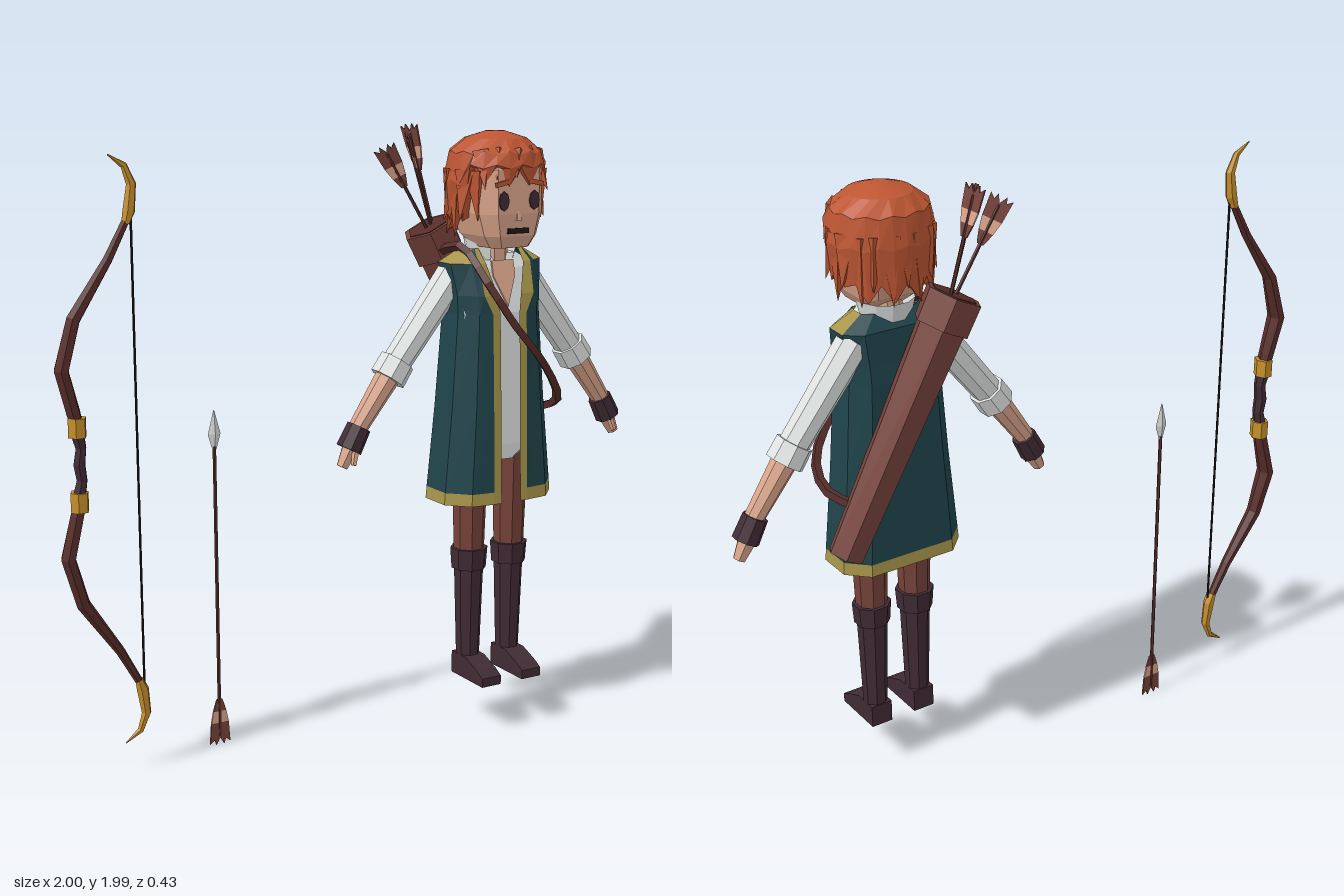
import * as THREE from 'three';

const V = (x, y, z) => new THREE.Vector3(x, y, z);
const UP = V(0, 1, 0);

export function createModel() {
  const mat = (name, color, side = THREE.FrontSide) => {
    const m = new THREE.MeshStandardMaterial({ color, side });
    m.name = name;
    return m;
  };
  const D = THREE.DoubleSide;
  const skin = mat('skin', 0xd9a48a), hair = mat('ginger', 0xbd5633, D), teal = mat('teal cloth', 0x1f444b, D);
  const trim = mat('trim', 0xa8954a, D), white = mat('linen', 0xdde1e0, D), leather = mat('leather', 0x76423a, D);
  const wood = mat('dark wood', 0x572d29), boot = mat('boot leather', 0x402b34), gold = mat('gold', 0xc58f2c), black = mat('black', 0x1c1719);

  const model = new THREE.Group(), archer = new THREE.Group();
  archer.name = 'archer';
  archer.position.x = 0.437;
  model.add(archer);

  // faceted mesh
  const add = (parent, name, geo, material) => {
    const g = geo.index ? geo.toNonIndexed() : geo;
    g.computeVertexNormals();
    const m = new THREE.Mesh(g, material);
    m.name = name;
    parent.add(m);
    return m;
  };
  // surface through rings; pick(row, column) selects faces
  const loft = (rings, closed = true, pick = () => true) => {
    const p = [], n = rings[0].length;
    const tri = (...v) => v.forEach(q => p.push(q.x, q.y, q.z));
    for (let i = 0; i < rings.length - 1; i++)
      for (let j = 0; j < (closed ? n : n - 1); j++) {
        if (!pick(i, j)) continue;
        const k = (j + 1) % n, a = rings[i][j], b = rings[i][k], c = rings[i + 1][k], d = rings[i + 1][j];
        tri(a, b, c);
        tri(a, c, d);
      }
    if (closed) {
      [rings[0], rings[rings.length - 1]].forEach((r, e) => {
        const mid = r.reduce((s, q) => s.add(q), V(0, 0, 0)).divideScalar(n);
        r.forEach((q, j) => (e ? tri(mid, q, r[(j + 1) % n]) : tri(mid, r[(j + 1) % n], q)));
      });
    }
    const g = new THREE.BufferGeometry();
    g.setAttribute('position', new THREE.Float32BufferAttribute(p, 3));
    return g;
  };
  // chamfered rectangle ring
  const ring = (y, hx, zf, zb, k = 0.65) => {
    const cz = (zf + zb) / 2, hz = (zf - zb) / 2;
    return [[-k, 1], [k, 1], [1, k], [1, -k], [k, -1], [-k, -1], [-1, -k], [-1, k]].map(([a, b]) => V(a * hx, y, cz + b * hz));
  };
  // tapered prism between two points
  const limb = (parent, name, a, b, ra, rb, material, sides = 8) => {
    const d = b.clone().sub(a), g = new THREE.CylinderGeometry(rb, ra, d.length(), sides);
    g.rotateY(Math.PI / sides);
    const m = add(parent, name, g, material);
    m.position.copy(a).addScaledVector(d, 0.5);
    m.quaternion.setFromUnitVectors(UP, d.normalize());
    return m;
  };
  const plate = (pts, depth = 0.006) =>
    new THREE.ExtrudeGeometry(new THREE.Shape(pts.map(p => new THREE.Vector2(...p))), { depth, bevelEnabled: false });

  // vest: open front, gold hem, front edges and armholes
  const vest = [
    [0.78, 0.21, 0.18, -0.075, 0.037, 0.065], [0.82, 0.207, 0.178, -0.073, 0.037, 0.065],
    [1.1, 0.18, 0.168, -0.065, 0.037, 0.065], [1.4, 0.158, 0.155, -0.055, 0.037, 0.065],
    [1.46, 0.16, 0.15, -0.05, 0.045, 0.095], [1.56, 0.174, 0.12, -0.045, 0.072, 0.1],
    [1.605, 0.1, 0.08, -0.01, 0.075, 0.09],
  ].map(([y, hx, zf, zb, inner, outer]) => {
    const half = [[inner, zf], [outer, zf], [Math.max(0.7 * hx, outer + 0.004), zf - 0.01],
      [hx, zf - (zf - zb) * 0.3], [hx, zb + (zf - zb) * 0.25], [0.7 * hx, zb]];
    return [...half, [0, zb], ...half.slice().reverse().map(([x, z]) => [-x, z])].map(([x, z]) => V(x, y, z));
  });
  const isTrim = (r, c) => r === 0 || c === 0 || c === 11 || (r === 5 && [2, 3, 8, 9].includes(c));
  add(archer, 'vest', loft(vest, false, (r, c) => !isTrim(r, c)), teal);
  add(archer, 'vestTrim', loft(vest, false, isTrim), trim);

  // shirt, neck and collar
  add(archer, 'shirt', loft([ring(0.92, 0.03, 0.15, 0.12), ring(0.97, 0.13, 0.152, -0.04), ring(1.4, 0.145, 0.14, -0.04),
    ring(1.54, 0.15, 0.105, -0.03), ring(1.585, 0.08, 0.08, 0)]), white);
  const chest = add(archer, 'openNeck', plate([[0, 0], [0.042, 0.1], [0.042, 0.15], [-0.042, 0.15], [-0.042, 0.1]]), skin);
  chest.position.set(0, 1.42, 0.14);
  chest.rotation.x = -0.26;
  limb(archer, 'neck', V(0, 1.5, 0.04), V(0, 1.66, 0.045), 0.058, 0.05, skin);
  const collar = add(archer, 'collar', new THREE.CylinderGeometry(0.09, 0.075, 0.065, 9, 1, true, 0.6, Math.PI * 2 - 1.2), white);
  collar.position.set(0, 1.6, 0.04);
  const necklace = add(archer, 'necklace', new THREE.TorusGeometry(0.058, 0.006, 4, 12), wood);
  necklace.rotation.x = Math.PI / 2 + 0.3;
  necklace.position.set(0, 1.56, 0.05);

  for (const s of [1, -1]) {
    // arms
    const P = (x, y) => V(s * x, y, 0.015);
    limb(archer, 'sleeve', P(0.125, 1.525), P(0.36, 1.225), 0.054, 0.047, white);
    limb(archer, 'sleeveCuff', P(0.337, 1.255), P(0.375, 1.2), 0.058, 0.06, white);
    limb(archer, 'forearm', P(0.36, 1.225), P(0.5, 1.03), 0.042, 0.03, skin);
    limb(archer, 'wristWrap', P(0.48, 1.055), P(0.518, 0.985), 0.04, 0.043, boot);
    limb(archer, 'hand', P(0.505, 1.0), P(0.543, 0.93), 0.033, 0.02, skin, 6);
    limb(archer, 'thumb', V(s * 0.505, 0.99, 0.04), V(s * 0.52, 0.94, 0.05), 0.013, 0.009, skin, 5);
    // legs and boots
    const L = y => V(s * 0.08, y, 0.055);
    limb(archer, 'trouserLeg', L(0.57), L(0.95), 0.05, 0.062, leather);
    limb(archer, 'bootCuff', L(0.54), L(0.61), 0.058, 0.063, boot);
    limb(archer, 'bootShaft', L(0.19), L(0.56), 0.038, 0.05, boot);
    const foot = add(archer, 'foot', plate([[-0.015, 0.165], [-0.2, 0.165], [-0.2, 0.195], [-0.17, 0.212], [-0.1, 0.24], [-0.015, 0.24]], 0.074), boot);
    foot.rotation.y = Math.PI / 2;
    foot.position.x = s * 0.08 - 0.037;
    // eyes and brows
    const eye = add(archer, 'eye', new THREE.CylinderGeometry(0.019, 0.019, 0.008, 8).rotateX(Math.PI / 2).scale(1, 1.6, 1), boot);
    eye.position.set(s * 0.058, 1.762, 0.193);
    const brow = add(archer, 'eyebrow', new THREE.BoxGeometry(0.055, 0.015, 0.009), hair);
    brow.position.set(s * 0.062, 1.818, 0.194);
    brow.rotation.z = -s * 0.2;
  }

  // head
  add(archer, 'head', loft([ring(1.612, 0.075, 0.172, 0.02), ring(1.65, 0.1, 0.187, -0.03), ring(1.72, 0.12, 0.192, -0.06),
    ring(1.86, 0.122, 0.19, -0.07), ring(1.92, 0.09, 0.15, -0.04)], true), skin);
  add(archer, 'mouth', new THREE.BoxGeometry(0.08, 0.017, 0.009), black).position.set(0, 1.667, 0.189);
  limb(archer, 'nose', V(0, 1.7, 0.188), V(0, 1.735, 0.188), 0.013, 0.004, skin, 4);

  // hair cap with ragged edge
  const N = 24;
  const hairRing = (hx, hz, yOf) => Array.from({ length: N }, (_, j) => {
    const t = (j / N) * Math.PI * 2;
    return V(Math.sin(t) * hx, yOf(Math.cos(t), j), 0.055 + Math.cos(t) * hz);
  });
  const edge = (c, j) => (c > 0.35 ? 1.845 : c > -0.3 ? 1.73 : 1.69) - (j % 2 ? 0.035 : -0.02);
  add(archer, 'hairCap', loft([hairRing(0.152, 0.146, edge), hairRing(0.168, 0.153, (c, j) => 1.875 - 0.05 * (c < 0.35) - 0.012 * (j % 2)),
    hairRing(0.15, 0.142, (c, j) => 1.905 + 0.01 * (j % 2)), hairRing(0.1, 0.1, () => 1.952), hairRing(0.03, 0.03, () => 1.974)],
  true, () => true), hair);
  // layered locks
  for (let j = 0; j < 15; j++) {
    const t = 0.95 + (j / 14) * (Math.PI * 2 - 1.9), x = Math.sin(t), z = Math.cos(t);
    const low = z > 0 ? 1.7 : 1.645 + 0.05 * (j % 2);
    limb(archer, 'hairLock', V(x * 0.13, 1.85, 0.055 + z * 0.115), V(x * (0.15 + 0.02 * (j % 2)), low, 0.055 + z * 0.15), 0.045, 0.001, hair, 4);
  }
  for (const [x, dx, y] of [[-0.1, -0.02, 1.8], [-0.055, -0.03, 1.83], [0, -0.02, 1.835], [0.05, 0.03, 1.84], [0.1, 0.02, 1.79]])
    limb(archer, 'fringeLock', V(x, 1.91, 0.165 - Math.abs(x) * 0.4), V(x + dx, y, 0.208 - Math.abs(x) * 0.3), 0.036, 0.001, hair, 4);

  // quiver and strap
  const qTop = V(-0.132, 1.66, -0.13), qBase = V(0.243, 0.895, -0.09);
  const along = t => qTop.clone().lerp(qBase, t);
  limb(archer, 'quiver', qBase, along(0.05), 0.058, 0.08, leather, 6);
  limb(archer, 'quiverCollar', along(0.12), qTop, 0.09, 0.092, leather, 6);
  limb(archer, 'quiverMouth', along(0.02), along(-0.003), 0.075, 0.075, wood, 6);
  const strapPath = new THREE.CatmullRomCurve3([[-0.13, 1.58, -0.08], [-0.115, 1.61, 0.04], [-0.092, 1.5, 0.165], [-0.012, 1.37, 0.198],
    [0.103, 1.24, 0.195], [0.2, 1.11, 0.15], [0.228, 1.055, 0.04], [0.19, 1.04, -0.08]].map(p => V(...p)));
  add(archer, 'strap', new THREE.TubeGeometry(strapPath, 18, 0.016, 4), wood);

  // arrow: fletching at its origin, shaft along +y
  const arrow = (name, length) => {
    const g = new THREE.Group();
    g.name = name;
    limb(g, 'shaft', V(0, 0.03, 0), V(0, length, 0), 0.006, 0.006, wood, 5);
    const feather = (pts, m) => add(g, 'fletching', plate([...pts, ...pts.slice().reverse().filter(p => p[0]).map(([x, y]) => [-x, y])]), m).position.z = -0.003;
    feather([[0, 0.025], [0.014, 0], [0.02, 0.018], [0.036, 0.005], [0.031, 0.075]], leather);
    feather([[0.031, 0.075], [0.023, 0.115]], skin);
    feather([[0.023, 0.115], [0.01, 0.155]], leather);
    return g;
  };
  const single = arrow('arrow', 1.0);
  single.position.set(-0.467, 0.005, -0.163);
  const head = new THREE.Group();
  head.name = 'arrowhead';
  limb(head, 'point', V(0, 1.04, 0), V(0, 1.118, 0), 0.022, 0.001, white, 4);
  limb(head, 'pointBase', V(0, 0.99, 0), V(0, 1.04, 0), 0.007, 0.022, white, 4);
  head.children.forEach(m => m.geometry.rotateY(Math.PI / 4).scale(1, 1, 0.4));
  single.add(head);
  model.add(single);
  [[-0.305, 1.925, -0.13, 0.5], [-0.235, 1.965, -0.1, -0.7], [-0.185, 1.99, -0.17, 0.9]].forEach(([x, y, z, spin], i) => {
    const a = arrow('quiverArrow', 0.42), from = V(x, y, z), to = V(-0.11 + i * 0.012, 1.6, -0.12 - 0.015 * i);
    a.position.copy(from);
    a.quaternion.setFromUnitVectors(UP, to.sub(from).normalize());
    a.rotateY(spin);
    archer.add(a);
  });

  // bow: sections are [x, y, in-plane radius, z radius]
  const bow = new THREE.Group();
  bow.name = 'bow';
  bow.position.z = -0.13;
  model.add(bow);
  const sweep = (name, pts, material) => {
    const z = V(0, 0, -1);
    add(bow, name, loft(pts.map(([x, y, rn, rz], i) => {
      const a = pts[Math.max(i - 1, 0)], b = pts[Math.min(i + 1, pts.length - 1)];
      const u = z.clone().cross(V(b[0] - a[0], b[1] - a[1], 0).normalize());
      return Array.from({ length: 6 }, (_, k) => {
        const t = (k / 6) * Math.PI * 2;
        return V(x, y, 0).addScaledVector(u, Math.cos(t) * rn).addScaledVector(z, Math.sin(t) * rz);
      });
    })), material);
  };
  const flip = pts => pts.map(([x, y, ...r]) => [x, 2.02 - y, ...r]);
  const limbPts = [[-0.937, 1.14, 0.02, 0.026], [-0.945, 1.17, 0.022, 0.028], [-0.978, 1.3, 0.023, 0.034], [-0.935, 1.45, 0.022, 0.026],
    [-0.82, 1.62, 0.015, 0.018], [-0.752, 1.745, 0.012, 0.014]];
  const tipPts = [[-0.76, 1.725, 0.013, 0.018], [-0.748, 1.76, 0.02, 0.019], [-0.738, 1.84, 0.016, 0.015], [-0.76, 1.895, 0.011, 0.01], [-0.81, 1.928, 0.002, 0.002]];
  const bandPts = [[-0.935, 1.095, 0.029, 0.033], [-0.935, 1.155, 0.029, 0.033]];
  for (const f of [p => p, flip]) {
    sweep('bowLimb', f(limbPts), wood);
    sweep('bowTip', f(tipPts), gold);
    sweep('gripBand', f(bandPts), gold);
  }
  sweep('grip', [[-0.938, 0.9, 0.022, 0.026], [-0.925, 0.96, 0.017, 0.022], [-0.932, 1.01, 0.019, 0.024], [-0.925, 1.06, 0.017, 0.022], [-0.938, 1.12, 0.022, 0.026]], boot);
  limb(bow, 'bowString', V(-0.742, 0.2, 0), V(-0.742, 1.82, 0), 0.004, 0.004, black, 5);
  return model;
}
